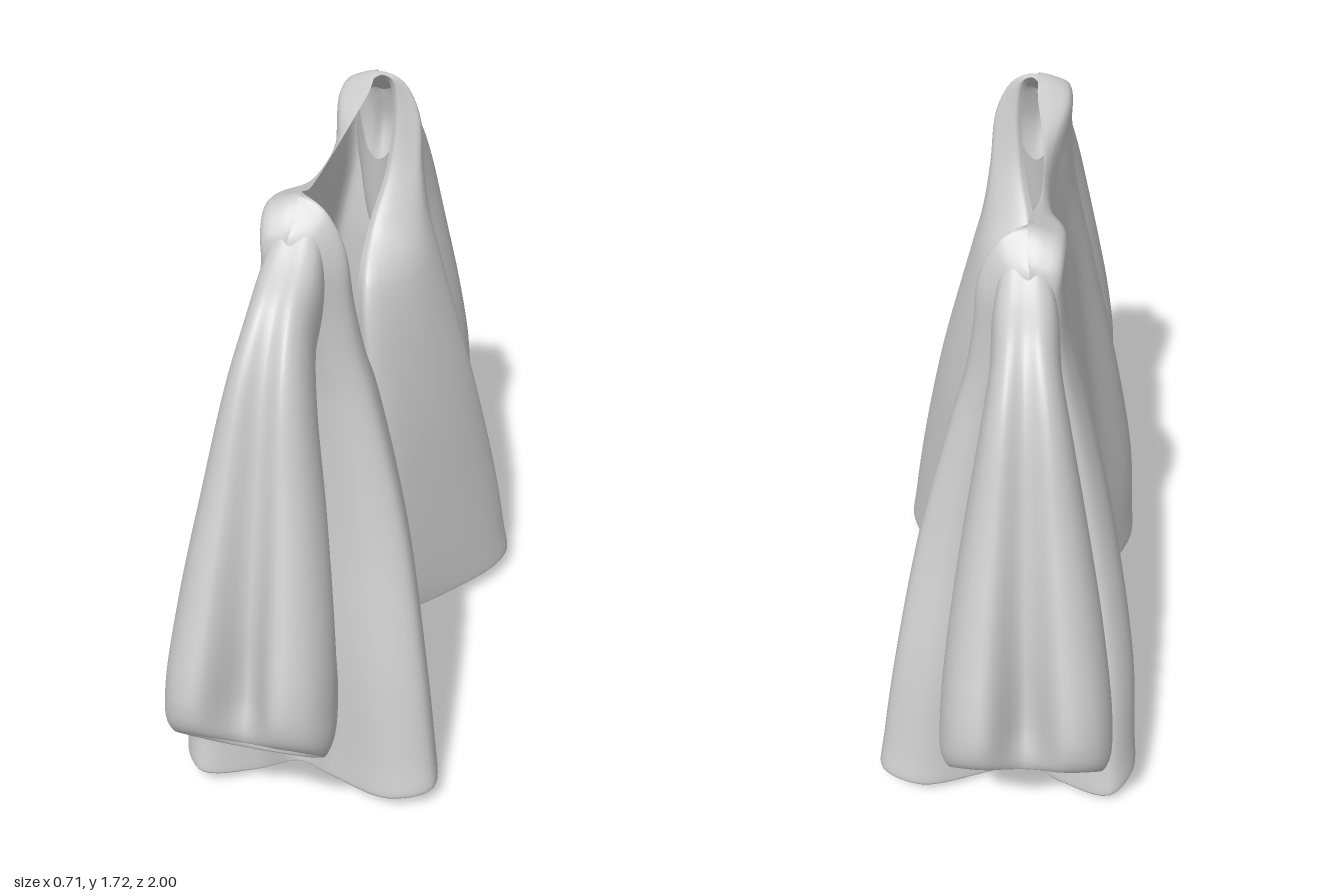
import * as THREE from 'three';

const material = new THREE.MeshStandardMaterial({ color: 0xcccccc, side: THREE.DoubleSide });
const mix = THREE.MathUtils.lerp;
const smooth = THREE.MathUtils.smoothstep;
const V = (x, y, z) => new THREE.Vector3(x, y, z);

// Smooth surface through rows of control points
function loft(name, rows, nu, nv, closed, flip) {
  const sample = (pts, n, loop) => {
    const c = new THREE.CatmullRomCurve3(pts, loop, 'centripetal');
    return Array.from({ length: n + 1 }, (_, i) => c.getPoint(i / n));
  };
  const fine = rows.map(r => sample(r, nu, closed));
  const columns = fine[0].map((_, i) => sample(fine.map(r => r[i]), nv, false));
  const pos = [], index = [];
  columns.forEach(c => c.forEach(p => pos.push(p.x, p.y, p.z)));
  const n = nv + 1;
  for (let i = 0; i < nu; i++) for (let j = 0; j < nv; j++) {
    const a = i * n + j, b = closed && i === nu - 1 ? j : a + n;
    if (flip) index.push(a, a + 1, b, b, a + 1, b + 1);
    else index.push(a, b, a + 1, b, b + 1, a + 1);
  }
  const g = new THREE.BufferGeometry();
  g.setAttribute('position', new THREE.Float32BufferAttribute(pos, 3));
  g.setIndex(index);
  g.computeVertexNormals();
  const mesh = new THREE.Mesh(g, material);
  mesh.name = name;
  return mesh;
}

// Height of the shoulder ridge across the garment
function ridge(z) {
  const k = [[0, 1.625], [0.2, 1.64], [0.33, 1.685], [0.4, 1.705], [0.46, 1.65], [0.55, 1.57], [0.7, 1.5]];
  let i = 0;
  while (i < k.length - 2 && z > k[i + 1][0]) i++;
  return mix(k[i][1], k[i + 1][1], (z - k[i][0]) / (k[i + 1][0] - k[i][0]));
}

// Open-fronted body: C-shaped sections with a pleat folded in at each side
function body() {
  // y, back centre x, back corner x, side z, pleat z, front corner x, front edge x and z
  const rows = [
    [0.10, -0.225, -0.325, 0.61, 0.48, 0.32, 0.09, 0.17],
    [0.06, -0.24, -0.35, 0.645, 0.49, 0.35, 0.08, 0.16],
    [0.15, -0.24, -0.347, 0.63, 0.48, 0.34, 0.055, 0.105],
    [0.4, -0.23, -0.335, 0.59, 0.46, 0.305, 0.045, 0.075],
    [0.8, -0.2, -0.275, 0.505, 0.43, 0.232, 0.03, 0.085],
    [1.17, -0.16, -0.2, 0.465, 0.43, 0.14, -0.01, 0.14],
    [1.3, -0.145, -0.17, 0.465, 0.45, 0.105, -0.02, 0.27],
    [1.42, -0.125, -0.145, 0.47, 0.48, 0.085, 0.005, 0.35],
    [1.56, -0.1, -0.135, 0.475, 0.51, 0.07, 0.015, 0.39],
    [1.64, -0.085, -0.13, 0.47, 0.49, 0.03, 0, 0.395],
    [1.66, -0.075, -0.085, 0.46, 0.48, -0.01, -0.03, 0.385],
    [1.665, -0.07, -0.045, 0.45, 0.47, -0.055, -0.06, 0.34],
  ].map(([y, cx, bx, zs, zv, fx, ex, ez], r) => {
    const xv = -0.05, top = smooth(y, 1.2, 1.66);
    const roll = mix(0.055, 0.015, smooth(y, 0.9, 1.4)), fz = zs * mix(0.76, 0.88, top);
    const half = [
      [cx, 0], [mix(cx, bx, 0.22), zs * 0.35], [bx, zs * 0.7], [mix(bx, xv, 0.02), zs * 0.89],
      [mix(bx, xv, 0.22), zs], [mix(bx, xv, 0.68), mix(zs, zv, 0.45)], [xv, zv],
      [mix(xv, fx, 0.28), mix(zv, zs, 0.4)], [mix(xv, fx, 0.72), zs * 0.97], [mix(xv, fx, 0.99), zs * 0.9], [fx * 0.985, fz],
      [mix(ex, fx, 0.5) + 0.025 * (1 - top), mix(ez, fz, 0.48)], [ex, ez], [ex - roll, ez + roll * 0.9],
    ].map(([x, z], i) => {
      const dip = r < 3 ? 0.06 * Math.max(0, 1 - Math.abs(i - 6) / 2.5) : 0;
      return V(x, y - dip + top * (ridge(z) - 1.655), z);
    });
    const mirrored = half.slice(1).reverse().map(p => V(p.x, p.y, -p.z));
    return [...mirrored, ...half];
  });
  return loft('jacketBody', rows, 156, 66, false, false);
}

// Puffed sleeve: heart-shaped sections, grooved outside and fuller towards the cuff
function sleeve(side) {
  // outer z, y; inner z, y; half width; groove depth; fullness near the body
  const rings = [
    [0.43, 1.67, 0.40, 1.45, 0.06, 0, 0.2],
    [0.52, 1.595, 0.42, 1.3, 0.08, 0, 0.2],
    [0.63, 1.53, 0.435, 1.17, 0.085, 0.02, 0.1],
    [0.73, 1.4, 0.445, 1.02, 0.11, 0.05, 0],
    [0.83, 1.12, 0.465, 0.85, 0.155, 0.09, -0.03],
    [0.925, 0.85, 0.5, 0.68, 0.193, 0.16, 0.05],
    [1.0, 0.61, 0.56, 0.48, 0.216, 0.24, 0.27],
    [0.99, 0.52, 0.68, 0.33, 0.212, 0.2, 0.3],
    [0.955, 0.48, 0.76, 0.275, 0.19, 0.18, 0.27],
    [0.92, 0.54, 0.75, 0.34, 0.16, 0.25, 0.2],
    [0.85, 0.62, 0.66, 0.5, 0.13, 0.4, 0.2],
  ];
  const rows = rings.map(([oz, oy, iz, iy, w, groove, full], r) => {
    const half = [[1 - groove, 0], [1, 0.45], [0.92, 0.82], [0.7, 1], [0.36, 0.57 + full], [0.1, 0.26 + full], [0, 0]];
    const all = [...half, ...half.slice(1, -1).reverse().map(([s, x]) => [s, -x])];
    return all.map(([s, x]) => V(-0.04 - 0.022 * Math.min(1, r / 6) + x * w, mix(iy, oy, s), side * mix(iz, oz, s)));
  });
  return loft(side > 0 ? 'leftSleeve' : 'rightSleeve', rows, 60, 50, true, side > 0);
}

export function createModel() {
  const group = new THREE.Group();
  group.name = 'jacket';
  group.add(body(), sleeve(1), sleeve(-1));
  return group;
}
